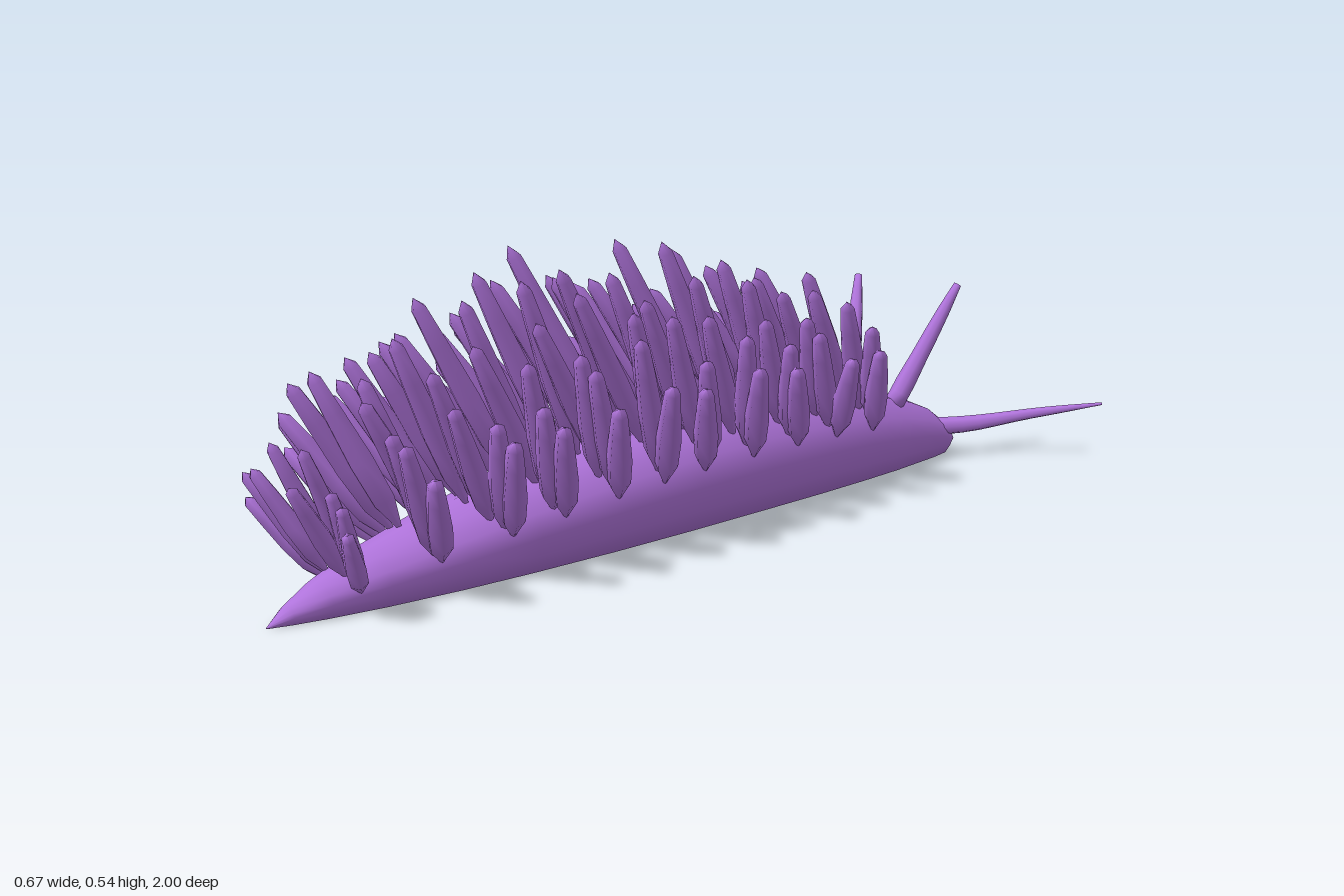
import * as THREE from 'three';

const skin = new THREE.MeshStandardMaterial({ color: 0xb074dc });
skin.name = 'purple skin';

// Body stations: z, half width, height
const STATIONS = [
  [-0.842, 0.03, 0.025], [-0.83, 0.062, 0.05], [-0.8, 0.084, 0.083], [-0.75, 0.096, 0.112],
  [-0.68, 0.105, 0.138], [-0.58, 0.117, 0.165], [-0.45, 0.125, 0.19], [-0.3, 0.13, 0.203],
  [-0.1, 0.131, 0.207], [0.1, 0.13, 0.2], [0.3, 0.124, 0.182], [0.5, 0.11, 0.154],
  [0.65, 0.093, 0.124], [0.8, 0.067, 0.088], [0.9, 0.041, 0.055], [0.96, 0.02, 0.028], [1, 0.001, 0.002],
];
// Half cross-section from the foot to the back, in units of half width and height
const SECTION = [[0.76, 0], [0.9, 0.2], [1, 0.43], [0.87, 0.68], [0.52, 0.91], [0, 1]];

// Half width and height of the body at z
function bodyAt(z) {
  let i = 0;
  while (i < STATIONS.length - 2 && STATIONS[i + 1][0] < z) i++;
  const a = STATIONS[i], b = STATIONS[i + 1];
  const t = (z - a[0]) / (b[0] - a[0]);
  return [a[1] + (b[1] - a[1]) * t, a[2] + (b[2] - a[2]) * t];
}

// Skins a list of closed rings (counter-clockwise seen from the end) and caps both ends
function loft(rings) {
  const n = rings[0].length, pos = [], index = [];
  rings.forEach(r => r.forEach(p => pos.push(p.x, p.y, p.z)));
  for (let i = 0; i < rings.length - 1; i++) {
    for (let j = 0; j < n; j++) {
      const a = i * n + j, b = i * n + (j + 1) % n;
      index.push(a, b, b + n, a, b + n, a + n);
    }
  }
  const last = (rings.length - 1) * n;
  for (let j = 1; j < n - 1; j++) {
    index.push(0, j + 1, j, last, last + j, last + j + 1);
  }
  const g = new THREE.BufferGeometry();
  g.setAttribute('position', new THREE.Float32BufferAttribute(pos, 3));
  g.setIndex(index);
  g.computeVertexNormals();
  return g;
}

function bodyGeometry() {
  const left = SECTION.slice(0, -1).reverse().map(([x, y]) => [-x, y]);
  const outline = [...SECTION, ...left, [0, 0]];
  return loft(STATIONS.map(([z, w, h]) => outline.map(([x, y]) => new THREE.Vector3(x * w, y * h, z))));
}

// Tapered feeler following a curve
function feelerGeometry(points, radii, sides = 8, steps = 10) {
  const curve = new THREE.CatmullRomCurve3(points.map(p => new THREE.Vector3(...p)));
  const frames = curve.computeFrenetFrames(steps);
  const rings = [];
  for (let i = 0; i <= steps; i++) {
    const t = i / steps, c = curve.getPointAt(t);
    const f = t * (radii.length - 1), k = Math.min(Math.floor(f), radii.length - 2);
    const r = THREE.MathUtils.lerp(radii[k], radii[k + 1], f - k);
    rings.push(Array.from({ length: sides }, (_, j) => {
      const a = j / sides * Math.PI * 2;
      return c.clone().addScaledVector(frames.normals[i], Math.cos(a) * r)
        .addScaledVector(frames.binormals[i], Math.sin(a) * r);
    }));
  }
  return loft(rings);
}

export function createModel() {
  const model = new THREE.Group();
  model.name = 'seaSlug';
  const add = (name, geometry, parent = model) => {
    const m = new THREE.Mesh(geometry, skin);
    m.name = name;
    parent.add(m);
    return m;
  };

  add('body', bodyGeometry());

  // Head feelers
  for (const s of [1, -1]) {
    const side = s > 0 ? 'left' : 'right';
    add(side + 'MouthTentacle', feelerGeometry(
      [[s * 0.05, 0.062, -0.75], [s * 0.11, 0.066, -0.825], [s * 0.21, 0.088, -0.91], [s * 0.333, 0.112, -0.998]],
      [0.02, 0.018, 0.013, 0.009, 0.003]));
    add(side + 'Horn', feelerGeometry(
      [[s * 0.055, 0.13, -0.61], [s * 0.092, 0.255, -0.672], [s * 0.128, 0.38, -0.735]],
      [0.021, 0.021, 0.018, 0.016, 0.013, 0.008]));
  }

  // Back spines: unit-length spindle, narrow at the root
  const spine = new THREE.LatheGeometry(
    [[0.003, 0], [0.021, 0.2], [0.023, 0.45], [0.018, 0.75], [0.014, 0.94], [0, 1]]
      .map(([r, y]) => new THREE.Vector2(r, y)), 6);
  let seed = 11;
  const rand = () => (seed = (seed * 16807) % 2147483647) / 2147483647;
  const up = new THREE.Vector3(0, 1, 0);

  // Rows: z of the roots, length of the longest spine
  const ROWS = [[-0.45, 0.35], [-0.32, 0.35], [-0.2, 0.36], [-0.06, 0.41], [0.07, 0.39], [0.18, 0.43],
    [0.31, 0.39], [0.44, 0.38], [0.57, 0.37], [0.69, 0.35], [0.84, 0.26]];
  // Spines on one side of a row: root x, root y, outward lean, backward lean, length
  const FAN = [[0.18, 0.96, 0.1, 0.62, 1], [0.42, 0.9, 0.2, 0.68, 0.93], [0.64, 0.8, 0.34, 0.66, 0.88],
    [0.8, 0.7, 0.47, 0.62, 0.8], [0.9, 0.62, 0.58, 0.66, 0.7]];

  ROWS.forEach(([z, length], i) => {
    const row = new THREE.Group();
    row.name = 'spineRow' + (i + 1);
    model.add(row);
    const [w, h] = bodyAt(z);
    for (const s of [1, -1]) {
      for (const [x, y, out, back, k] of FAN) {
        const m = add('spine', spine, row);
        m.position.set(s * x * w, y * h - 0.01, z + (rand() - 0.5) * 0.04);
        const dir = new THREE.Vector3(s * (out + (rand() - 0.5) * 0.14), 1, back + (rand() - 0.5) * 0.16);
        m.quaternion.setFromUnitVectors(up, dir.normalize());
        const girth = i === ROWS.length - 1 ? 0.8 : 1;
        m.scale.set(girth, length * k * (0.88 + rand() * 0.14), girth);
      }
    }
  });
  return model;
}
